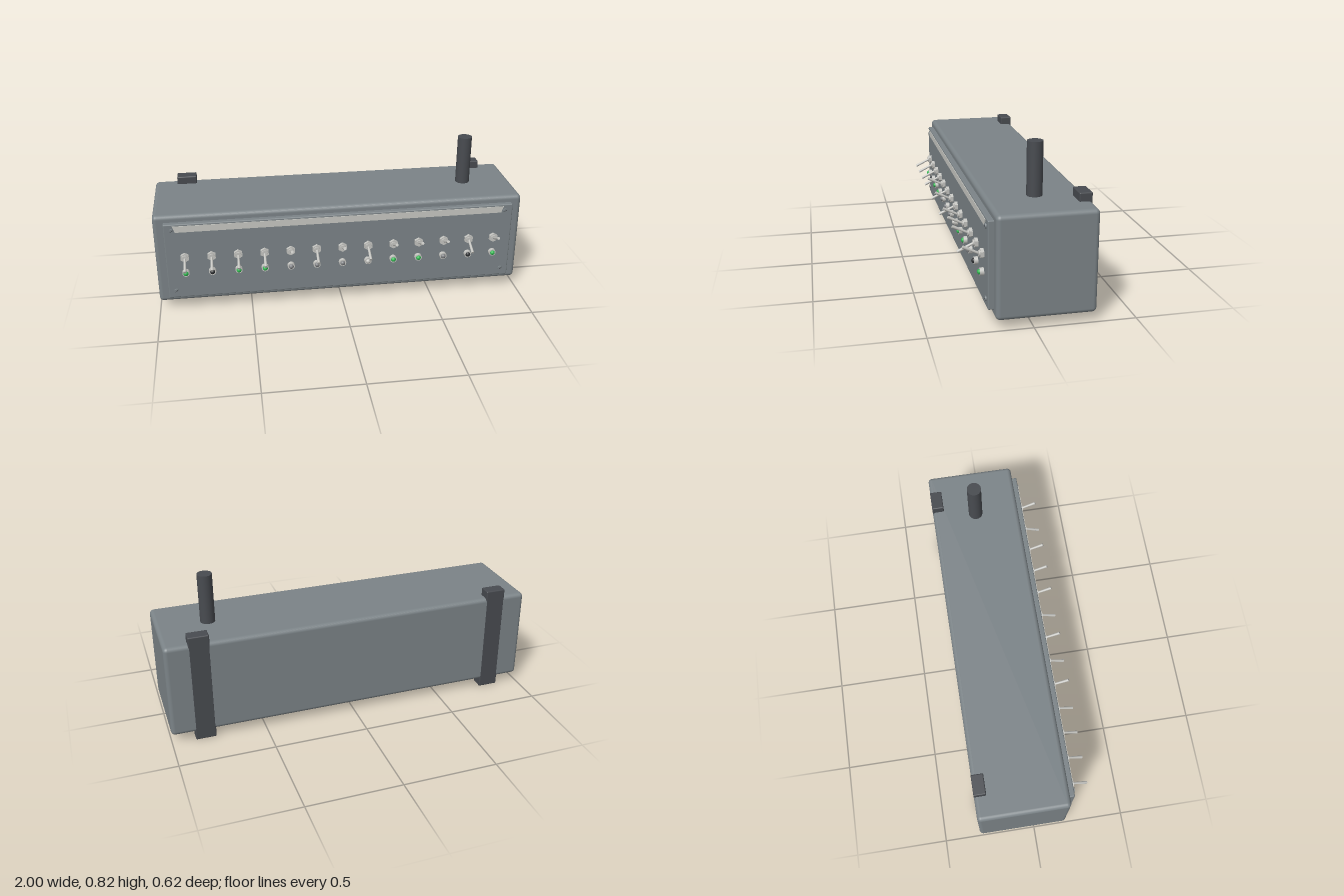
import * as THREE from 'three';
import { RoundedBoxGeometry } from 'three/addons/geometries/RoundedBoxGeometry.js';

const mat = (name, color) => {
  const m = new THREE.MeshStandardMaterial({ color });
  m.name = name;
  return m;
};

export function createModel() {
  const model = new THREE.Group();
  model.name = 'switchBox';
  const casing = mat('casing grey', 0x7b8387);
  const dark = mat('dark grey', 0x484b50);
  const metal = mat('bright metal', 0xc4c4c0);
  const label = mat('label strip', 0xc6c7c2);
  const green = mat('green lamp', 0x2fb850);
  const smoke = mat('grey lamp', 0x808285);
  const black = mat('black lamp', 0x2c2e31);

  const add = (name, geometry, material, x = 0, y = 0, z = 0, parent = model) => {
    const m = new THREE.Mesh(geometry, material);
    m.name = name;
    m.position.set(x, y, z);
    parent.add(m);
    return m;
  };
  const facingFront = (g) => g.rotateX(Math.PI / 2);

  // Casing and front panel
  add('casing', new RoundedBoxGeometry(2, 0.51, 0.485, 4, 0.022), casing, 0, 0.302, -0.0625);
  add('frontPanel', new RoundedBoxGeometry(1.89, 0.437, 0.036, 2, 0.006), casing, 0, 0.3015, 0.19);

  // Label strip with slanted ends
  const strip = new THREE.Shape([
    new THREE.Vector2(-0.885, 0.474), new THREE.Vector2(0.88, 0.474),
    new THREE.Vector2(0.893, 0.51), new THREE.Vector2(-0.898, 0.51),
  ]);
  add('labelStrip', new THREE.ExtrudeGeometry(strip, { depth: 0.004, bevelEnabled: false }), label, 0, 0, 0.207);

  // Mounting straps behind the casing
  for (const s of [-1, 1]) {
    add('mountingStrap', new RoundedBoxGeometry(0.108, 0.6, 0.065, 2, 0.006), dark, s * 0.822, 0.3, -0.273);
  }

  // Antenna
  add('antenna', new THREE.CylinderGeometry(0.039, 0.039, 0.29, 32), dark, 0.73, 0.68, -0.063);

  // Panel screws
  const screwGeo = facingFront(new THREE.CylinderGeometry(0.012, 0.013, 0.008, 16));
  const slotGeo = new THREE.BoxGeometry(0.018, 0.003, 0.001);
  for (const x of [-0.903, 0.903]) for (const y of [0.125, 0.483]) {
    add('screw', screwGeo, casing, x, y, 0.21);
    add('screwSlot', slotGeo, dark, x, y, 0.2142).rotation.z = 0.7;
  }

  // Row of toggle switches, each above an indicator lamp
  const nutGeo = facingFront(new THREE.CylinderGeometry(0.025, 0.025, 0.017, 6).toNonIndexed());
  nutGeo.computeVertexNormals();
  const collarGeo = facingFront(new THREE.CylinderGeometry(0.016, 0.016, 0.01, 20));
  const leverGeo = new THREE.CylinderGeometry(0.008, 0.006, 0.09, 14).translate(0, 0.045, 0);
  const bezelGeo = facingFront(new THREE.CylinderGeometry(0.019, 0.02, 0.02, 24));
  const domeGeo = facingFront(new THREE.SphereGeometry(0.0135, 20, 8, 0, Math.PI * 2, 0, Math.PI / 2));
  const up = [4, 6, 8, 9, 10, 12];
  const lamps = [green, black, green, green, smoke, smoke, smoke, metal, green, green, smoke, black, green];
  lamps.forEach((lamp, i) => {
    const unit = new THREE.Group();
    unit.name = 'switchUnit';
    unit.position.x = -0.845 + i * 0.1408;
    model.add(unit);
    add('switchNut', nutGeo, metal, 0, 0.328, 0.216, unit);
    add('switchCollar', collarGeo, metal, 0, 0.328, 0.227, unit);
    const tilt = up.includes(i) ? -0.45 : 0.45;
    add('switchLever', leverGeo, metal, 0, 0.327, 0.226, unit).rotation.x = Math.PI / 2 + tilt;
    add('lampBezel', bezelGeo, metal, 0, 0.236, 0.217, unit);
    add('lamp', domeGeo, lamp, 0, 0.236, 0.2255, unit);
  });
  return model;
}
